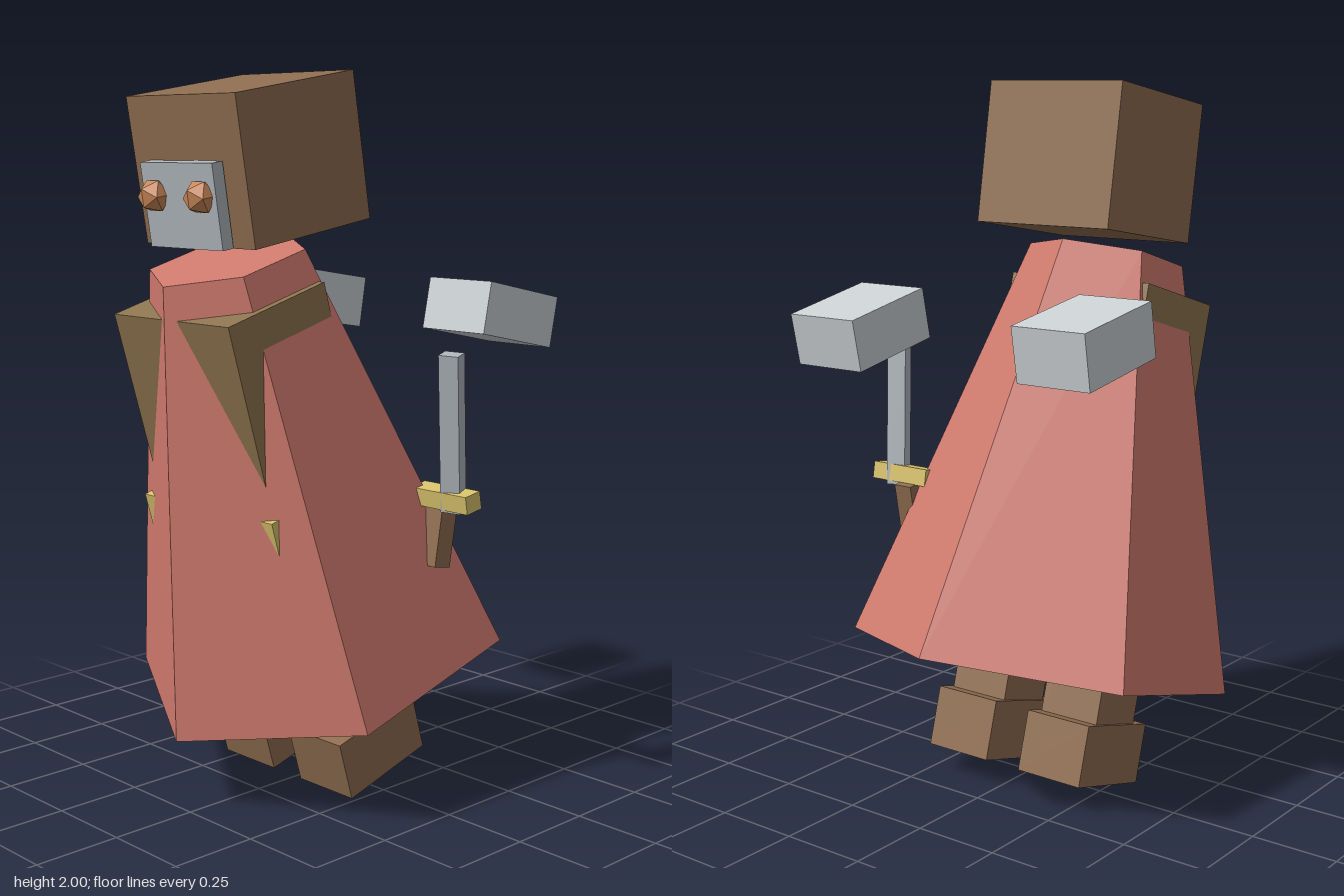
import * as THREE from 'three';

const mat = (name, color, opts = {}) => {
  const m = new THREE.MeshStandardMaterial({ color, flatShading: true, ...opts });
  m.name = name;
  return m;
};

export function createModel() {
  const brown = mat('brown', 0x8f6d50);
  const tunic = mat('olive brown', 0x8f7550);
  const red = mat('dusty red', 0xd07a6e);
  const steel = mat('pale steel', 0xcdd2d5);
  const grey = mat('grey metal', 0xb0b6bc);
  const gold = mat('gold', 0xd8c26c);
  const copper = mat('copper', 0xcb8757);

  const CX = -0.0325; // figure's own centre line
  const model = new THREE.Group();
  model.name = 'robedFigure';

  const add = (parent, name, geo, material, pos, rot = [0, 0, 0]) => {
    const mesh = new THREE.Mesh(geo, material);
    mesh.name = name;
    mesh.position.set(...pos);
    mesh.rotation.set(...rot);
    parent.add(mesh);
    return mesh;
  };
  const box = (parent, name, size, material, pos, rot) =>
    add(parent, name, new THREE.BoxGeometry(...size), material, pos, rot);

  // Leaning body; its origin is the centre of the robe's top
  const body = new THREE.Group();
  body.name = 'body';
  body.position.set(CX, 1.5025, 0.325);
  body.rotation.x = 0.281;
  model.add(body);

  // Six-sided robe
  add(body, 'robe', new THREE.CylinderGeometry(0.224, 0.547, 1.196, 6), red, [0, -0.598, 0]);

  // Torso and belt poke through the robe at the corners
  box(body, 'torso', [0.475, 0.55, 0.346], tunic, [0, -0.365, 0.058]);
  box(body, 'belt', [0.535, 0.12, 0.41], gold, [0, -0.68, 0.058]);

  // Legs and boots
  for (const [side, s] of [['left', 1], ['right', -1]]) {
    box(body, side + 'Leg', [0.19, 0.6, 0.195], brown, [s * 0.1625, -1.03, 0.06]);
    box(body, side + 'Boot', [0.21, 0.172, 0.30], brown, [s * 0.1625, -1.413, 0.06]);
  }

  // Head, face plate and eyes
  box(model, 'head', [0.445, 0.396, 0.416], brown, [CX, 1.77, 0.243], [0.165, 0, 0]);
  box(model, 'facePlate', [0.295, 0.225, 0.036], grey, [CX, 1.65, 0.46], [0.155, 0, 0]);
  for (const [side, s] of [['left', 1], ['right', -1]]) {
    add(model, side + 'Eye', new THREE.IcosahedronGeometry(0.047, 0), copper,
      [CX + s * 0.094, 1.672, 0.49], [0.155, 0, 0]);
  }

  // Floating gauntlets
  box(model, 'leftGauntlet', [0.225, 0.144, 0.291], steel, [0.3175, 1.34, -0.348], [-0.207, 0, 0]);
  box(model, 'rightGauntlet', [0.225, 0.152, 0.299], steel, [-0.3825, 1.35, -0.28], [-0.167, 0, 0]);

  // Short sword
  const sword = new THREE.Group();
  sword.name = 'sword';
  model.add(sword);
  box(sword, 'blade', [0.056, 0.44, 0.046], grey, [0.447, 1.045, -0.052], [0.16, 0.33, -0.09]);
  box(sword, 'guard', [0.2, 0.05, 0.058], gold, [0.405, 0.861, -0.075], [0.17, 0, 0]);
  box(sword, 'grip', [0.06, 0.18, 0.06], brown, [0.37, 0.755, -0.085], [-0.17, 0, 0]);

  return model;
}
